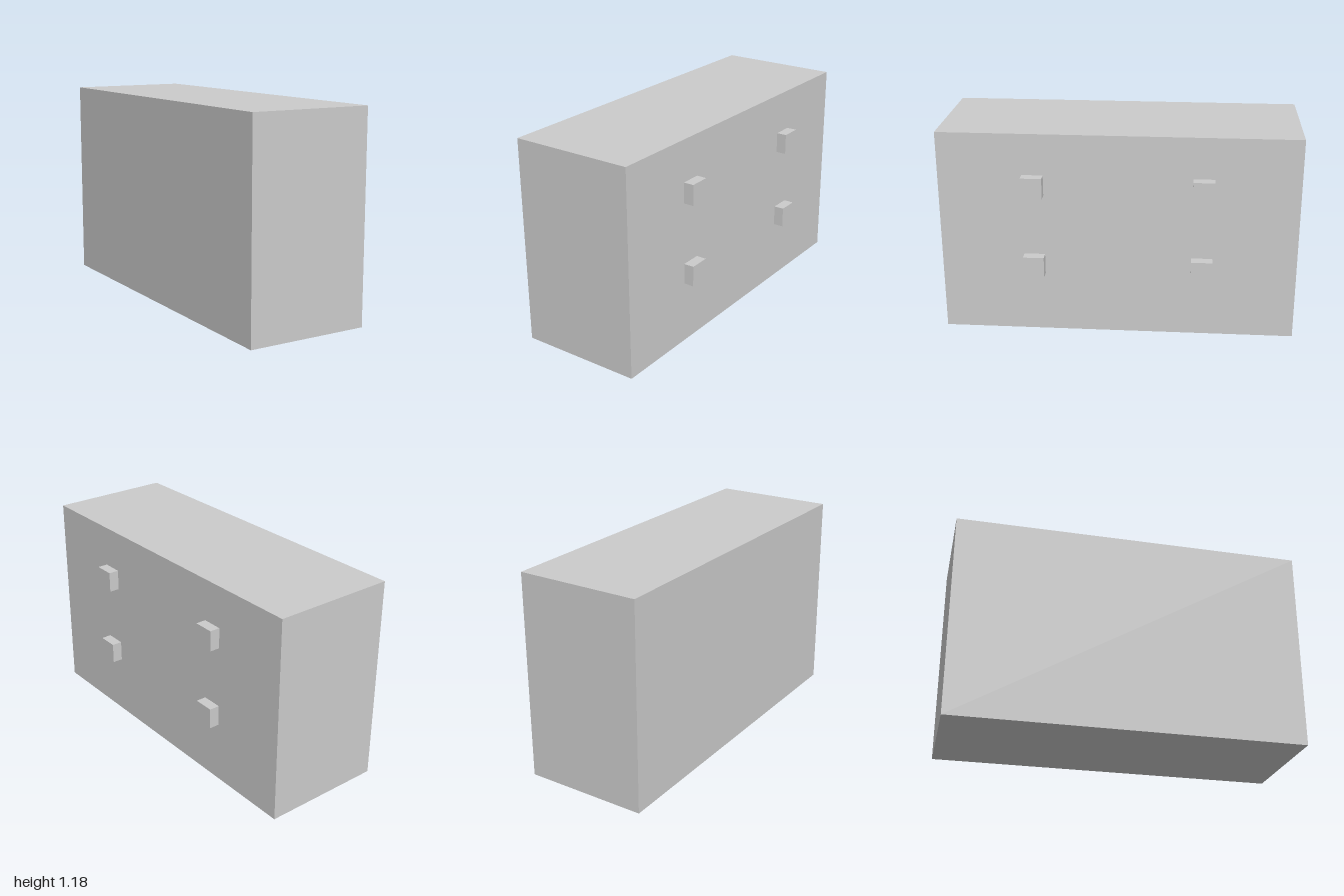
import * as THREE from 'three';

// Everything sits on a regular grid: the body is 6 x 10 x 17 units
const U = 2 / 17;

export function createModel() {
  const model = new THREE.Group();
  model.name = 'blockWithPegs';
  const material = new THREE.MeshStandardMaterial({ color: 0xcccccc, flatShading: true });

  const addBox = (name, size, position) => {
    const mesh = new THREE.Mesh(new THREE.BoxGeometry(...size.map((s) => s * U)), material);
    mesh.name = name;
    mesh.position.set(...position).multiplyScalar(U);
    model.add(mesh);
  };

  // Main block, shifted so the block and its pegs are centred together
  addBox('body', [6, 10, 17], [-0.25, 5, 0]);

  // Four square pegs on the +x side
  for (const [row, y] of [['lower', 3.5], ['upper', 7.5]]) {
    for (const [end, z] of [['Front', 4], ['Back', -4]]) {
      addBox(`${row}${end}Peg`, [0.5, 1, 1], [3, y, z]);
    }
  }

  return model;
}
